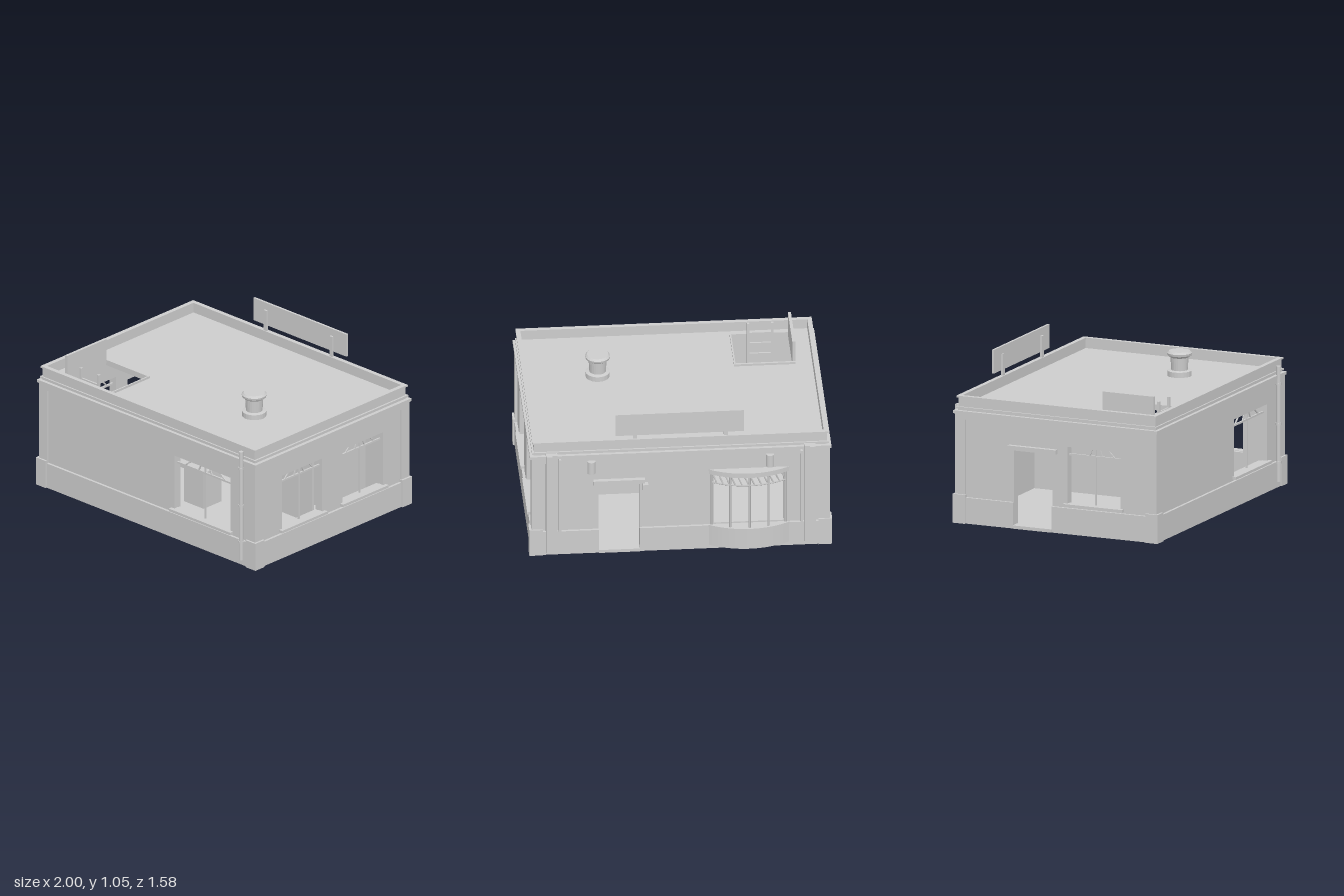
import * as THREE from 'three';

const grey = new THREE.MeshStandardMaterial({ color: 0xcccccc });
grey.name = 'plainGrey';

function add(parent, name, geometry, x = 0, y = 0, z = 0) {
  const m = new THREE.Mesh(geometry, grey);
  m.name = name;
  m.position.set(x, y, z);
  parent.add(m);
  return m;
}

// Box given by its limits on each axis
function box(parent, name, x0, x1, y0, y1, z0, z1) {
  return add(parent, name, new THREE.BoxGeometry(x1 - x0, y1 - y0, z1 - z0),
    (x0 + x1) / 2, (y0 + y1) / 2, (z0 + z1) / 2);
}

function rect(Type, x0, x1, y0, y1) {
  const p = new Type();
  p.moveTo(x0, y0).lineTo(x1, y0).lineTo(x1, y1).lineTo(x0, y1).closePath();
  return p;
}

function panel(x0, x1, y0, y1, holes, depth) {
  const s = rect(THREE.Shape, x0, x1, y0, y1);
  holes.forEach(h => s.holes.push(rect(THREE.Path, ...h)));
  return new THREE.ExtrudeGeometry(s, { depth, bevelEnabled: false });
}

// Horizontal slab from y0 to y1, holes given as x and z limits
function slab(parent, name, X, back, front, y0, y1, holes = []) {
  const g = panel(-X, X, -front, -back, holes.map(([a, b, c, d]) => [a, b, -d, -c]), y1 - y0);
  g.rotateX(-Math.PI / 2);
  return add(parent, name, g, 0, y0, 0);
}

function ring(parent, name, X, back, front, y0, y1, t) {
  return slab(parent, name, X, back, front, y0, y1, [[-X + t, X - t, back + t, front - t]]);
}

// Thin straight bar between two points in a wall plane
function bar(parent, name, ax, ay, bx, by, z, w) {
  const m = add(parent, name, new THREE.BoxGeometry(Math.hypot(bx - ax, by - ay), w, w),
    (ax + bx) / 2, (ay + by) / 2, z);
  m.rotation.z = Math.atan2(by - ay, bx - ax);
}

// Sash with one mullion, a transom and slanted glazing bars, over a sill
function windowFrame(side, [x0, x1, y0, y1], d) {
  const g = new THREE.Group(), c = (x0 + x1) / 2, w = x1 - x0, z = d - 0.045, t = y1 - 0.055;
  g.name = 'window';
  bar(g, 'mullion', c, y0, c, y1, z, 0.01);
  bar(g, 'transom', x0, t, x1, t, z, 0.012);
  for (const s of [-1, 1]) {
    bar(g, 'glazingBar', c + s * w * 0.36, t, c + s * w * 0.22, y1, z, 0.008);
    bar(g, 'glazingBar', c + s * w * 0.12, t, c + s * w * 0.07, y1, z, 0.008);
  }
  box(g, 'sill', x0 - 0.025, x1 + 0.025, y0 - 0.015, y0 + 0.003, d - 0.05, d + 0.012);
  side.add(g);
}

// One outer wall in its own frame: x along the wall, +z outwards at distance d
function wall(root, name, turn, d, u0, u1, windows, doors, extraHoles = [], cornerStrips = true) {
  const side = new THREE.Group();
  side.name = name;
  side.rotation.y = turn;
  root.add(side);
  const face = d - 0.015;
  add(side, 'wallPanel', panel(u0 + 0.02, u1 - 0.02, 0.005, 0.765, [...windows, ...doors, ...extraHoles], 0.06),
    0, 0, face - 0.06);
  // plinth pieces either side of the doors
  let from = u0;
  for (const [a, b] of [...doors, [u1, u1]]) {
    box(side, 'plinth', from, a, 0, 0.175, d - 0.05, d + 0.003);
    from = b;
  }
  // raised frame around the panel
  box(side, 'topBand', u0, u1, 0.7, 0.74, d - 0.05, d);
  if (cornerStrips) {
    box(side, 'cornerStrip', u0, u0 + 0.075, 0.1, 0.74, d - 0.05, d);
    box(side, 'cornerStrip', u1 - 0.075, u1, 0.1, 0.74, d - 0.05, d);
  }
  windows.forEach(w => windowFrame(side, w, d));
  doors.forEach(([a, b, , top]) => {
    box(side, 'lintel', a - 0.035, b + 0.035, top, top + 0.03, d - 0.02, d + 0.015);
    box(side, 'threshold', a, b, 0, 0.022, d - 0.07, d + 0.008);
  });
  return side;
}

// Bow window curved outwards from the back wall
function bowWindow(root) {
  const g = new THREE.Group();
  g.name = 'bowWindow';
  const cx = -0.45, cz = -0.267, R = 0.522, half = 0.535;
  const section = (name, y0, y1, r) => {
    const s = new THREE.Shape();
    s.absarc(0, 0, r, Math.PI / 2 - half, Math.PI / 2 + half, false);
    s.closePath();
    const geo = new THREE.ExtrudeGeometry(s, { depth: y1 - y0, bevelEnabled: false, curveSegments: 12 });
    geo.rotateX(-Math.PI / 2);
    add(g, name, geo, cx, y0, cz);
  };
  section('bowBase', 0.03, 0.17, R - 0.004);
  section('bowSill', 0.17, 0.185, R);
  section('bowHead', 0.575, 0.6, R - 0.004);
  section('bowCap', 0.6, 0.612, R);
  const at = (a, y, r = R - 0.018) => new THREE.Vector3(cx + Math.sin(a) * r, y, cz - Math.cos(a) * r);
  const n = 4, span = half - 0.03;
  const tube = (name, pts, r) => add(g, name,
    new THREE.TubeGeometry(new THREE.CatmullRomCurve3(pts), pts.length * 3, r, 4));
  for (let i = 0; i <= n; i++) {
    const a = -span + 2 * span * i / n;
    tube('bowMullion', [at(a, 0.18), at(a, 0.58)], 0.008);
    if (i < n) {
      const step = 2 * span / n;
      for (const f of [0.15, 0.5, 0.85]) {
        tube('bowGlazingBar', [at(a + step * (f - 0.12), 0.51), at(a + step * (f + 0.12), 0.58)], 0.005);
      }
    }
  }
  tube('bowTransom', Array.from({ length: 9 }, (_, i) => at(-span + span * i / 4, 0.51)), 0.007);
  root.add(g);
}

export function createModel() {
  const root = new THREE.Group();
  root.name = 'building';
  const P = Math.PI;

  // Walls and floor
  slab(root, 'floor', 0.97, -0.695, 0.76, 0, 0.02);
  wall(root, 'frontWall', 0, 0.765, -0.985, 0.985, [[0.235, 0.745, 0.2, 0.585]], []);
  wall(root, 'leftWall', P / 2, 0.985, -0.765, 0.705,
    [[-0.495, -0.11, 0.2, 0.585], [0.085, 0.47, 0.2, 0.585]], []);
  wall(root, 'rightWall', -P / 2, 0.985, -0.705, 0.765,
    [[0.11, 0.495, 0.2, 0.585]], [[-0.28, 0, 0.02, 0.53]]);
  wall(root, 'backWall', P, 0.705, -0.985, 0.985, [], [[-0.54, -0.27, 0.02, 0.525]],
    [[0.22, 0.68, 0.185, 0.575]]);
  bowWindow(root);

  // Corner plinths and stepped pilasters on the back
  for (const s of [-1, 1]) {
    const c = (name, a, b, ...r) => box(root, name, Math.min(s * a, s * b), Math.max(s * a, s * b), ...r);
    c('cornerPlinth', 0.91, 1, 0, 0.195, 0.69, 0.778);
    c('cornerPlinth', 0.91, 1, 0, 0.195, -0.715, -0.625);
    c('pilaster', 0.85, 0.89, 0.03, 0.775, -0.75, -0.69);
    c('pilasterStep', 0.815, 0.85, 0.03, 0.775, -0.735, -0.69);
    c('pilasterEdge', 0.79, 0.805, 0.03, 0.735, -0.73, -0.69);
    // half-round wall lamps
    add(root, 'wallLamp', new THREE.CylinderGeometry(0.027, 0.027, 0.09, 16), s * 0.59, 0.665, -0.712);
  }
  box(root, 'doorBox', 0.215, 0.25, 0.465, 0.525, -0.74, -0.7);

  // Cornice, parapet and roof
  ring(root, 'corniceLower', 0.995, -0.713, 0.773, 0.738, 0.758, 0.08);
  ring(root, 'corniceNeck', 0.97, -0.69, 0.75, 0.758, 0.768, 0.06);
  ring(root, 'corniceUpper', 0.98, -0.7, 0.76, 0.768, 0.782, 0.06);
  ring(root, 'parapet', 0.967, -0.688, 0.75, 0.782, 0.843, 0.02);
  ring(root, 'parapetCap', 0.978, -0.697, 0.758, 0.843, 0.855, 0.031);
  const hatch = [-0.82, -0.44, 0.3, 0.665];
  slab(root, 'roof', 0.96, -0.68, 0.74, 0.762, 0.785, [hatch]);

  // Roof hatch with raised edge and open lid
  const [hx0, hx1, hz0, hz1] = hatch;
  box(root, 'hatchEdge', hx0 - 0.015, hx1 + 0.01, 0.77, 0.8, hz0 - 0.015, hz0);
  box(root, 'hatchEdge', hx0 - 0.015, hx1 + 0.01, 0.77, 0.8, hz1, hz1 + 0.015);
  box(root, 'hatchEdge', hx1, hx1 + 0.01, 0.77, 0.8, hz0, hz1);
  box(root, 'hatchLid', -0.835, -0.815, 0.775, 0.95, 0.3, 0.672);

  // Ladder up to the hatch
  for (const x of [-0.71, -0.55]) box(root, 'ladderRail', x - 0.008, x + 0.008, 0.02, 0.89, 0.64, 0.658);
  for (let i = 0; i < 10; i++) {
    const y = 0.09 + i * 0.08;
    box(root, 'ladderRung', -0.71, -0.55, y, y + 0.01, 0.643, 0.655);
  }

  // Roof vent
  const profile = [[0, 0.785], [0.08, 0.785], [0.08, 0.82], [0.055, 0.825], [0.06, 0.91], [0.08, 0.925],
    [0.083, 0.94], [0.07, 0.953], [0, 0.953]].map(p => new THREE.Vector2(...p));
  const vent = new THREE.LatheGeometry(profile, 24).toNonIndexed();
  vent.computeVertexNormals();
  add(root, 'roofVent', vent, 0.475, 0, 0.24);

  // Blank board on posts above the back wall
  box(root, 'board', -0.42, 0.43, 0.89, 1.05, -0.702, -0.686);
  for (const x of [-0.3, 0.3]) box(root, 'boardPost', x - 0.013, x + 0.013, 0.78, 1.0, -0.686, -0.672);

  // Drainpipe
  add(root, 'drainpipe', new THREE.CylinderGeometry(0.015, 0.015, 0.78, 12), 0.867, 0.43, 0.775);
  for (const y of [0.17, 0.43, 0.7]) {
    add(root, 'pipeClamp', new THREE.CylinderGeometry(0.019, 0.019, 0.015, 12), 0.867, y, 0.775);
  }

  // Interior partitions and furniture
  box(root, 'partition', 0.08, 0.1, 0.02, 0.762, -0.64, 0);
  box(root, 'lowPartition', 0.1, 0.78, 0.02, 0.475, -0.01, 0.01);
  box(root, 'cabinet', 0.56, 0.78, 0.02, 0.51, -0.5, -0.22);
  box(root, 'tableTop', -0.1, 0.12, 0.27, 0.29, 0.14, 0.35);
  box(root, 'tableBody', -0.08, 0.1, 0.02, 0.27, 0.16, 0.33);
  return root;
}
